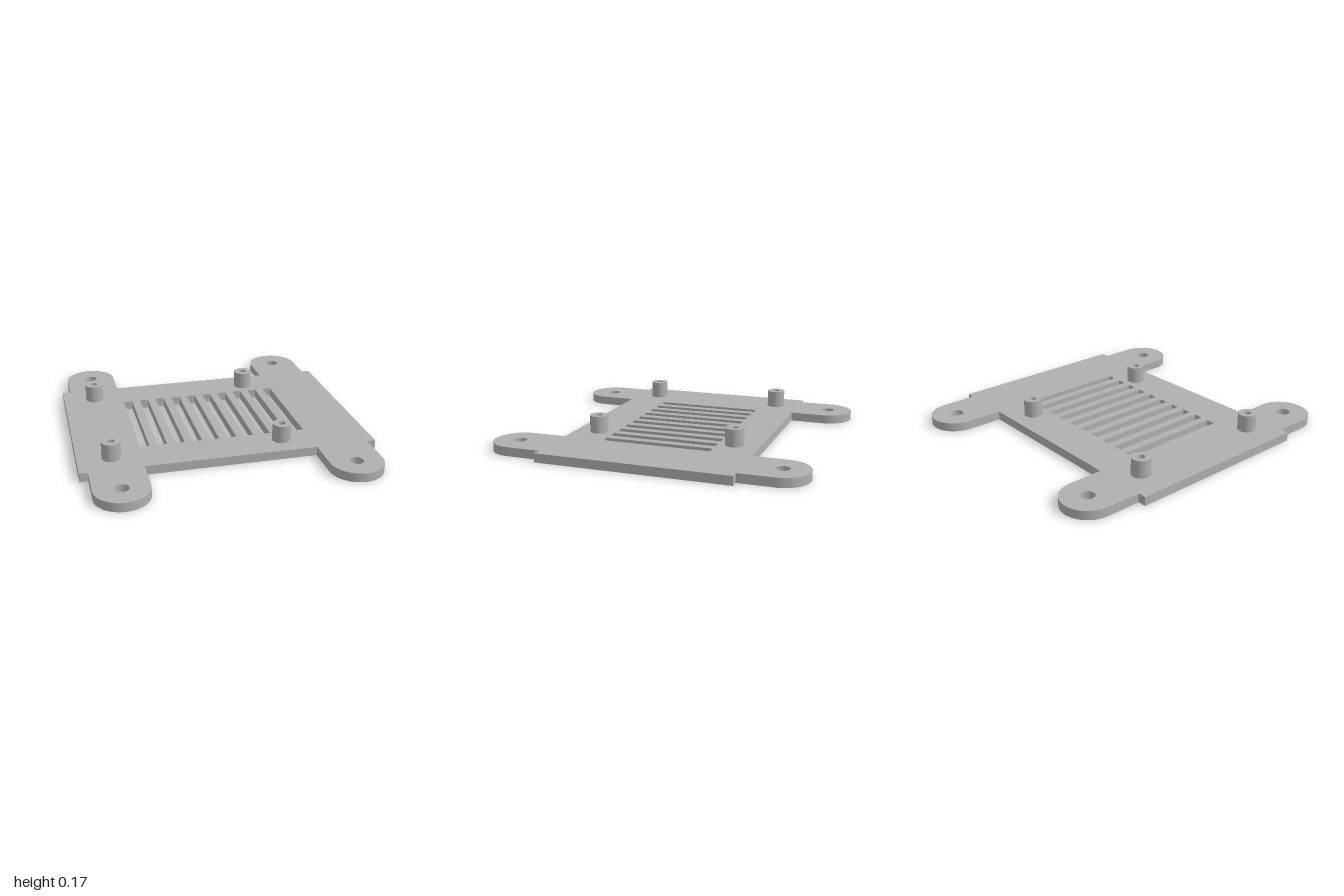
import * as THREE from 'three';
import { toCreasedNormals } from 'three/addons/utils/BufferGeometryUtils.js';

const PLATE_T = 0.057, POST_TOP = 0.168;
const HALF_X = 0.925, HALF_Z = 0.612;
const TAB_X = 0.705, TAB_R = 0.167, TAB_Z = 1 - TAB_R;
const POST_XS = [-0.715, 0.358], POST_Z = 0.455, POST_R = 0.059, BORE_R = 0.023;

function circle(x, y, r) {
  const path = new THREE.Path();
  path.absarc(x, y, r, 0, Math.PI * 2, true);
  return path;
}

function rectangle(x0, x1, y0, y1) {
  const corners = [[x0, y0], [x0, y1], [x1, y1], [x1, y0]];
  return new THREE.Path(corners.map(([x, y]) => new THREE.Vector2(x, y)));
}

// Extrude a plan outline upwards, keeping rims sharp and curves smooth
function extrudeUp(shape, height) {
  const geometry = new THREE.ExtrudeGeometry(shape, { depth: height, bevelEnabled: false, curveSegments: 32 });
  geometry.rotateX(-Math.PI / 2);
  return toCreasedNormals(geometry, Math.PI / 6);
}

function plateShape() {
  const s = new THREE.Shape();
  // Outline counter-clockwise: two round tabs on each long edge
  s.moveTo(-HALF_X, -HALF_Z);
  for (const x of [-TAB_X, TAB_X]) {
    s.lineTo(x - TAB_R, -HALF_Z);
    s.lineTo(x - TAB_R, -TAB_Z);
    s.absarc(x, -TAB_Z, TAB_R, Math.PI, Math.PI * 2, false);
    s.lineTo(x + TAB_R, -HALF_Z);
  }
  s.lineTo(HALF_X, -HALF_Z);
  s.lineTo(HALF_X, HALF_Z);
  for (const x of [TAB_X, -TAB_X]) {
    s.lineTo(x + TAB_R, HALF_Z);
    s.lineTo(x + TAB_R, TAB_Z);
    s.absarc(x, TAB_Z, TAB_R, 0, Math.PI, false);
    s.lineTo(x - TAB_R, HALF_Z);
  }
  s.lineTo(-HALF_X, HALF_Z);
  s.closePath();

  // Mounting holes in the tabs and bores under the posts
  for (const side of [-1, 1]) {
    for (const x of [-TAB_X, TAB_X]) s.holes.push(circle(x, side * 0.837, 0.043));
    for (const x of POST_XS) s.holes.push(circle(x, side * POST_Z, BORE_R));
  }
  // Ventilation slots
  for (let i = 0; i < 10; i++) {
    const x = -0.524 + i * 0.1115;
    s.holes.push(rectangle(x, x + 0.058, -0.354, 0.354));
  }
  return s;
}

export function createModel() {
  const model = new THREE.Group();
  model.name = 'ventilatedMountingPlate';
  const grey = new THREE.MeshStandardMaterial({ color: 0xb0b0b0 });
  grey.name = 'grey';

  const plate = new THREE.Mesh(extrudeUp(plateShape(), PLATE_T), grey);
  plate.name = 'basePlate';
  model.add(plate);

  // Four hollow standoff posts
  const ring = new THREE.Shape();
  ring.absarc(0, 0, POST_R, 0, Math.PI * 2, false);
  ring.holes.push(circle(0, 0, BORE_R));
  const postGeometry = extrudeUp(ring, POST_TOP - PLATE_T);
  for (const x of POST_XS) {
    for (const z of [-POST_Z, POST_Z]) {
      const post = new THREE.Mesh(postGeometry, grey);
      post.name = `${z > 0 ? 'front' : 'back'}${x > 0 ? 'Left' : 'Right'}Standoff`;
      post.position.set(x, PLATE_T, z);
      model.add(post);
    }
  }
  return model;
}
